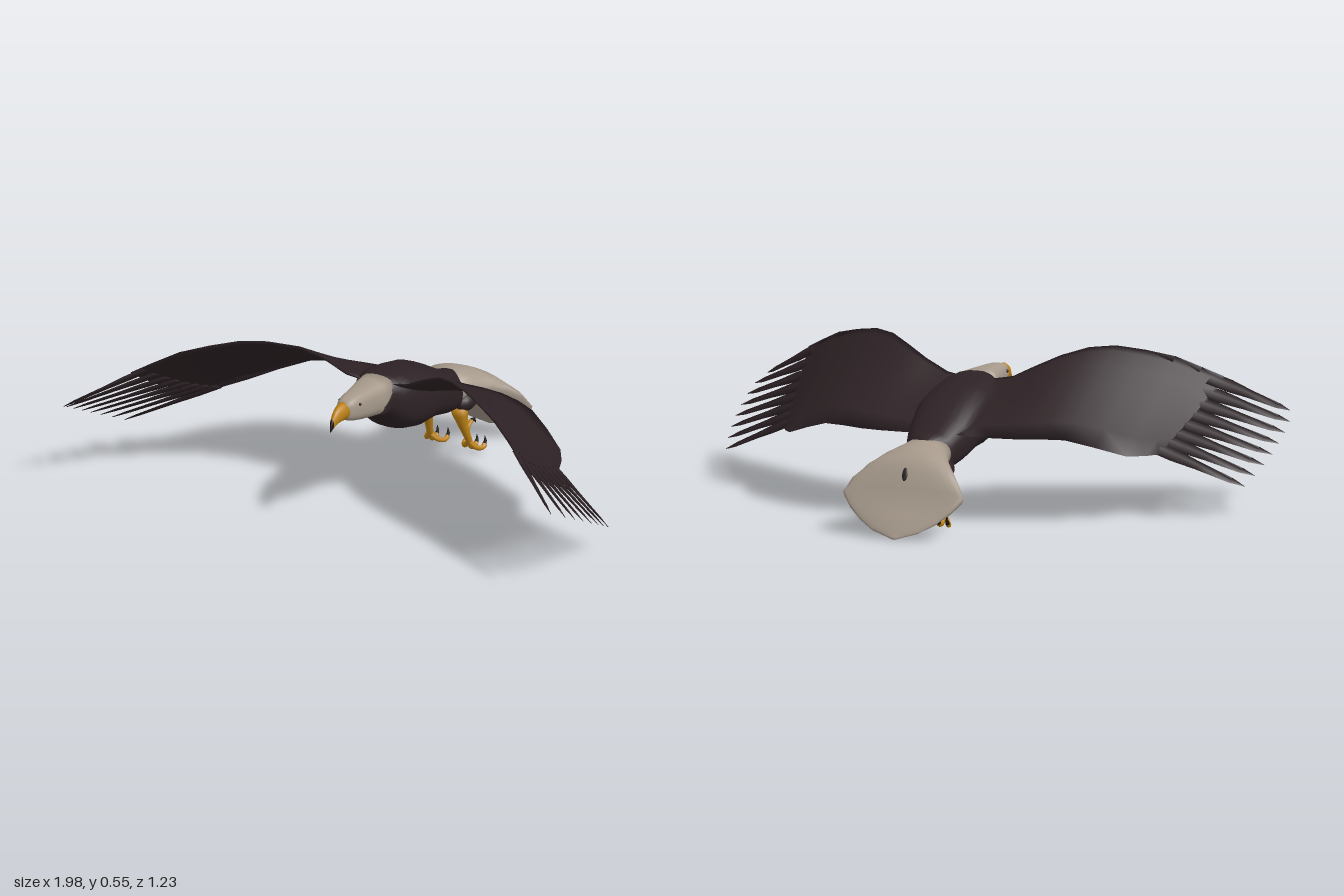
import * as THREE from 'three';

const paint = (name, color) => {
  const m = new THREE.MeshStandardMaterial({ color });
  m.name = name;
  return m;
};
const V = (x, y, z) => new THREE.Vector3(x, y, z);
const MID = 0.012; // the trunk sits slightly to the left of the wings

// Skin a row of closed rings and cap both ends
function loft(rings, flip = false) {
  const n = rings[0].length, pos = [], idx = [];
  const tri = (a, b, c) => (flip ? idx.push(a, c, b) : idx.push(a, b, c));
  rings.forEach(r => r.forEach(p => pos.push(p.x, p.y, p.z)));
  for (let i = 0; i < rings.length - 1; i++) {
    for (let j = 0; j < n; j++) {
      const a = i * n + j, b = i * n + (j + 1) % n;
      tri(a, b, a + n);
      tri(b, b + n, a + n);
    }
  }
  [0, rings.length - 1].forEach((i, end) => {
    const c = pos.length / 3, mid = V(0, 0, 0);
    rings[i].forEach(p => mid.addScaledVector(p, 1 / n));
    pos.push(mid.x, mid.y, mid.z);
    for (let j = 0; j < n; j++) {
      const a = i * n + j, b = i * n + (j + 1) % n;
      if (end) tri(c, a, b); else tri(c, b, a);
    }
  });
  const g = new THREE.BufferGeometry();
  g.setAttribute('position', new THREE.Float32BufferAttribute(pos, 3));
  g.setIndex(idx);
  g.computeVertexNormals();
  return g;
}

// Sections along z: [z, halfWidth, top, bottom, height of widest line]; power below 1 squares them off
function hull(sections, power = 1, n = 28) {
  const bend = v => Math.sign(v) * Math.abs(v) ** power;
  return loft(sections.map(([z, w, top, bot, edge = (top + bot) / 2]) =>
    Array.from({ length: n }, (_, j) => {
      const a = j / n * Math.PI * 2, s = bend(Math.sin(a));
      return V(MID + w * bend(Math.cos(a)), edge + s * (s > 0 ? top - edge : edge - bot), z);
    })));
}

// Wing sections: leading edge point, then trailing edge point
const WING = [
  [0.03, 0.43, 0.15, 0.03, 0.31, -0.25],
  [0.12, 0.445, 0.16, 0.12, 0.305, -0.25],
  [0.20, 0.485, 0.165, 0.20, 0.305, -0.25],
  [0.28, 0.522, 0.20, 0.28, 0.305, -0.24],
  [0.36, 0.545, 0.26, 0.36, 0.305, -0.21],
  [0.44, 0.548, 0.31, 0.44, 0.30, -0.17],
  [0.53, 0.53, 0.36, 0.53, 0.27, -0.115],
  [0.62, 0.505, 0.41, 0.62, 0.235, -0.05],
  [0.70, 0.465, 0.455, 0.665, 0.228, 0.02],
  [0.765, 0.43, 0.495, 0.69, 0.225, 0.08],
];
const sag = u => -0.06 * u * (1 - u);

function wingGeometry(s) {
  const path = [[0, 0], [0.2, 1], [0.4, 1], [0.6, 1], [0.8, 1], [0.94, 1], [1, 0],
    [0.94, -1], [0.8, -1], [0.6, -1], [0.4, -1], [0.2, -1]];
  return loft(WING.map(([lx, ly, lz, tx, ty, tz], i) => {
    const thick = 0.013 - 0.0008 * i;
    return path.map(([u, side]) => {
      const p = V(tx, ty, tz).lerp(V(lx, ly, lz), u);
      p.y += sag(u) + side * thick * (0.35 + 0.65 * Math.sin(Math.PI * u ** 1.5));
      p.x *= s;
      return p;
    });
  }), s < 0);
}

// Flat pointed feather from root to tip
function featherGeometry(root, tip, s) {
  const across = V(0.1, 0.42, 0.9).normalize();
  const up = across.clone().cross(tip.clone().sub(root)).normalize();
  const rings = [[0, 0.033], [0.24, 0.033], [0.5, 0.022], [0.85, 0.015], [1, 0.001]].map(([t, w]) => {
    const c = root.clone().lerp(tip, t);
    const h = 0.006 * (1 - t) + 0.001;
    return [[-w, 0], [0, h], [w, 0], [0, -h]].map(([a, b]) => {
      const p = c.clone().addScaledVector(across, a).addScaledVector(up, b);
      p.x *= s;
      return p;
    });
  });
  return loft(rings, s < 0);
}

export function createModel() {
  const model = new THREE.Group();
  const brown = paint('dark brown plumage', 0x2d2225);
  const white = paint('pale plumage', 0xa6998b);
  const yellow = paint('beak and leg yellow', 0xbd8217);
  const black = paint('claw black', 0x17130f);
  const add = (name, geometry, material, parent = model) => {
    const mesh = new THREE.Mesh(geometry, material);
    mesh.name = name;
    parent.add(mesh);
    return mesh;
  };

  // Body, head, beak and tail
  add('body', hull([
    [-0.345, 0.04, 0.302, 0.2], [-0.29, 0.085, 0.318, 0.172], [-0.2, 0.112, 0.362, 0.192],
    [-0.1, 0.125, 0.418, 0.218], [0, 0.125, 0.443, 0.22], [0.08, 0.118, 0.457, 0.24],
    [0.13, 0.1, 0.46, 0.275], [0.165, 0.074, 0.456, 0.312], [0.205, 0.063, 0.39, 0.328],
  ], 0.78), brown);
  add('head', hull([
    [0.15, 0.074, 0.46, 0.315], [0.2, 0.064, 0.459, 0.333], [0.25, 0.054, 0.457, 0.341],
    [0.3, 0.046, 0.455, 0.35], [0.34, 0.04, 0.452, 0.36], [0.37, 0.033, 0.446, 0.37],
    [0.39, 0.02, 0.437, 0.382],
  ], 0.72), white);
  add('beak', hull([
    [0.38, 0.026, 0.441, 0.376], [0.41, 0.021, 0.44, 0.38], [0.44, 0.014, 0.427, 0.377],
    [0.462, 0.008, 0.405, 0.367],
  ]), yellow);
  add('beakTip', hull([[0.462, 0.008, 0.405, 0.367], [0.473, 0.002, 0.376, 0.36]]), black);
  add('tail', hull([
    [-0.62, 0.008, 0.01, 0, 0.005], [-0.601, 0.09, 0.045, 0.015, 0.03],
    [-0.577, 0.145, 0.083, 0.034, 0.062], [-0.555, 0.188, 0.115, 0.05, 0.1],
    [-0.53, 0.222, 0.165, 0.07, 0.14], [-0.508, 0.2, 0.225, 0.088, 0.175],
    [-0.47, 0.165, 0.268, 0.12, 0.205], [-0.42, 0.128, 0.29, 0.155, 0.228],
    [-0.36, 0.098, 0.3, 0.178, 0.24], [-0.3, 0.086, 0.305, 0.185, 0.25],
  ]), white);
  const spot = add('tailSpot', new THREE.SphereGeometry(1, 12, 8), brown);
  spot.scale.set(0.01, 0.024, 0.004);
  spot.position.set(MID, 0.21, -0.514);
  spot.rotation.x = 0.35;

  const tube = (pts, r) => new THREE.TubeGeometry(new THREE.CatmullRomCurve3(pts), 10, r, 8);
  // Ring radii along a centre line, for the tapered shanks and claws
  const taper = (pts, radii) => loft(pts.map((p, i) => {
    const d = pts[Math.min(i + 1, pts.length - 1)].clone().sub(pts[Math.max(i - 1, 0)]).normalize();
    const a = V(1, 0, 0), b = d.clone().cross(a).normalize();
    return Array.from({ length: 10 }, (_, j) => {
      const t = j / 5 * Math.PI;
      return p.clone().addScaledVector(a, radii[i] * Math.cos(t)).addScaledVector(b, radii[i] * Math.sin(t));
    });
  }));

  for (const s of [1, -1]) {
    const side = s > 0 ? 'left' : 'right';

    // Wing with eight spread flight feathers
    const wing = new THREE.Group();
    wing.name = side + 'Wing';
    model.add(wing);
    add('wingPanel', wingGeometry(s), brown, wing);
    const [lx, ly, lz, tx, ty, tz] = WING[WING.length - 1];
    const reach = [0.955, 0.97, 0.982, 0.988, 0.99, 0.99, 0.985, 0.962];
    reach.forEach((x, i) => {
      const f = i / 7, u = (i + 0.5) / 8;
      const tip = V(x, 0.11 + 0.195 * f, 0.205 + 0.405 * f);
      const root = V(tx, ty, tz).lerp(V(lx, ly, lz), u);
      root.y += sag(u);
      root.addScaledVector(tip.clone().sub(root), -0.15);
      add('flightFeather', featherGeometry(root, tip, s), brown, wing);
    });

    // Eye
    const eye = add(side + 'Eye', new THREE.SphereGeometry(0.005, 12, 8), black);
    eye.position.set(MID + s * 0.04, 0.425, 0.338);

    // Thigh tuft, shank, toes and claws
    const leg = new THREE.Group();
    leg.name = side + 'Leg';
    leg.position.x = MID;
    model.add(leg);
    const tuft = add('thighTuft', new THREE.SphereGeometry(1, 16, 12), brown, leg);
    tuft.scale.set(0.034, 0.034, 0.052);
    tuft.position.set(s * 0.072, 0.202, -0.332);
    add('shank', taper(
      [V(s * 0.06, 0.19, -0.303), V(s * 0.063, 0.16, -0.309), V(s * 0.069, 0.11, -0.321),
        V(s * 0.076, 0.06, -0.343), V(s * 0.078, 0.035, -0.352)],
      [0.031, 0.027, 0.016, 0.012, 0.011]), yellow, leg);
    for (const dx of [-0.042, 0, 0.032]) {
      const x = s * (0.078 + dx);
      add('toe', tube([V(s * 0.078, 0.048, -0.345), V(s * (0.078 + dx * 0.6), 0.024, -0.36),
        V(x, 0.019, -0.385), V(x, 0.027, -0.395)], 0.009), yellow, leg);
      add('claw', taper([V(x, 0.024, -0.393), V(x, 0.038, -0.401), V(x, 0.056, -0.398)],
        [0.008, 0.005, 0.001]), black, leg);
    }
    add('hindToe', tube([V(s * 0.075, 0.075, -0.338), V(s * 0.075, 0.105, -0.346),
      V(s * 0.075, 0.117, -0.366)], 0.008), yellow, leg);
    add('hindClaw', taper([V(s * 0.075, 0.117, -0.364), V(s * 0.075, 0.117, -0.384),
      V(s * 0.075, 0.1, -0.397)], [0.008, 0.005, 0.001]), black, leg);
  }
  return model;
}
